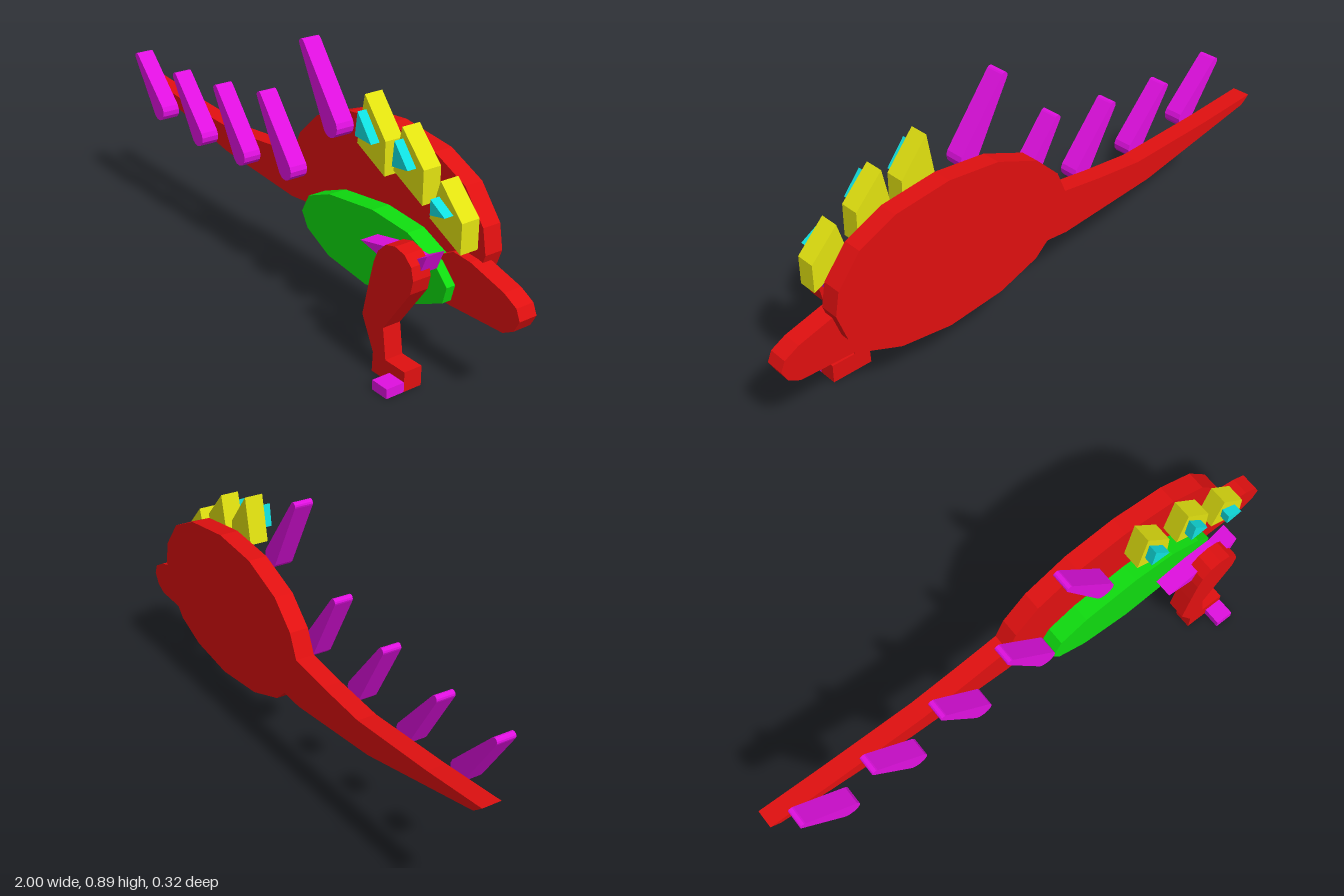
import * as THREE from 'three';

const material = (name, color) => {
  const m = new THREE.MeshStandardMaterial({ color });
  m.name = name;
  return m;
};

export function createModel() {
  const group = new THREE.Group();
  const red = material('red', 0xe01010);
  const green = material('green', 0x0fdc0f);
  const yellow = material('yellow', 0xe2e210);
  const cyan = material('cyan', 0x10e0e0);
  const magenta = material('magenta', 0xe010e0);
  const T = 0.065; // slab thickness

  // A flat slab cut from an outline, its back face at z
  const slab = (name, mat, z, outline) => {
    const shape = new THREE.Shape(outline.map(([x, y]) => new THREE.Vector2(x, y)));
    const geometry = new THREE.ExtrudeGeometry(shape, { depth: T, bevelEnabled: false });
    const mesh = new THREE.Mesh(geometry, mat);
    mesh.name = name;
    mesh.position.z = z;
    group.add(mesh);
  };

  // Trunk and tail in one outline
  slab('bodyAndTail', red, -0.162, [
    [-1, 0.44], [-0.965, 0.412], [-0.475, 0.312], [-0.085, 0.278], [0, 0.285], [0.05, 0.24],
    [0.2, 0.187], [0.41, 0.165], [0.6, 0.19], [0.72, 0.24], [0.79, 0.32], [0.825, 0.42],
    [0.81, 0.5], [0.73, 0.6], [0.6, 0.66], [0.4, 0.686], [0.21, 0.668], [0.05, 0.605],
    [-0.04, 0.52], [-0.075, 0.44], [-0.23, 0.42], [-0.42, 0.402], [-0.76, 0.42],
  ]);

  slab('head', red, -0.13, [
    [0.65, 0.31], [0.67, 0.25], [0.715, 0.232], [0.94, 0.24], [0.98, 0.262], [1, 0.3],
    [0.985, 0.335], [0.935, 0.362], [0.8, 0.4], [0.73, 0.405], [0.67, 0.37],
  ]);

  slab('belly', green, -0.097, [
    [0.06, 0.295], [0.09, 0.245], [0.2, 0.19], [0.385, 0.166], [0.6, 0.19], [0.73, 0.25],
    [0.745, 0.305], [0.69, 0.36], [0.57, 0.412], [0.41, 0.426], [0.2, 0.402], [0.095, 0.36],
  ]);

  // Tapered spikes with rounded ends: base x, y and tip x, y
  [
    [-0.773, 0.393, -0.917, 0.567], [-0.513, 0.375, -0.654, 0.562], [-0.253, 0.388, -0.392, 0.59],
    [0.008, 0.425, -0.134, 0.64], [0.24, 0.645, 0.094, 0.875],
  ].forEach(([bx, by, tx, ty], n) => {
    const a = Math.atan2(ty - by, tx - bx);
    const outline = [];
    const arc = (x, y, r, start) => {
      for (let i = 0; i <= 6; i++) {
        const t = start + (i / 6) * Math.PI;
        outline.push([x + r * Math.cos(t), y + r * Math.sin(t)]);
      }
    };
    arc(tx, ty, 0.012, a - Math.PI / 2);
    arc(bx, by, 0.034, a + Math.PI / 2);
    slab('spike' + (n + 1), magenta, -T, outline);
  });

  // Back plates with a triangular inlay each
  const plates = [
    [[0.4, 0.797], [0.37, 0.637], [0.497, 0.572], [0.497, 0.68]],
    [[0.567, 0.748], [0.535, 0.605], [0.663, 0.54], [0.663, 0.647]],
    [[0.733, 0.64], [0.695, 0.515], [0.825, 0.45], [0.825, 0.545]],
  ];
  const inlays = [
    [[0.408, 0.753], [0.398, 0.675], [0.472, 0.67]],
    [[0.573, 0.715], [0.565, 0.635], [0.632, 0.643]],
    [[0.73, 0.593], [0.73, 0.545], [0.79, 0.557]],
  ];
  plates.forEach((p, n) => {
    slab('backPlate' + (n + 1), yellow, -T, p);
    slab('plateInlay' + (n + 1), cyan, -T / 2, inlays[n]);
  });

  // Crest behind the shoulder
  slab('shoulderFin', magenta, 0, [
    [0.475, 0.38], [0.58, 0.358], [0.66, 0.33], [0.735, 0.375], [0.762, 0.44], [0.7, 0.405], [0.6, 0.405],
  ]);

  slab('leg', red, 0.032, [
    [0.58, 0], [0.725, 0], [0.725, 0.065], [0.64, 0.065], [0.625, 0.165], [0.735, 0.32],
    [0.745, 0.365], [0.735, 0.405], [0.705, 0.432], [0.665, 0.442], [0.625, 0.432],
    [0.592, 0.4], [0.575, 0.36], [0.555, 0.28], [0.53, 0.17], [0.583, 0.065],
  ]);
  slab('claw', magenta, 0.097, [[0.66, 0], [0.725, 0], [0.725, 0.032], [0.66, 0.032]]);

  return group;
}
